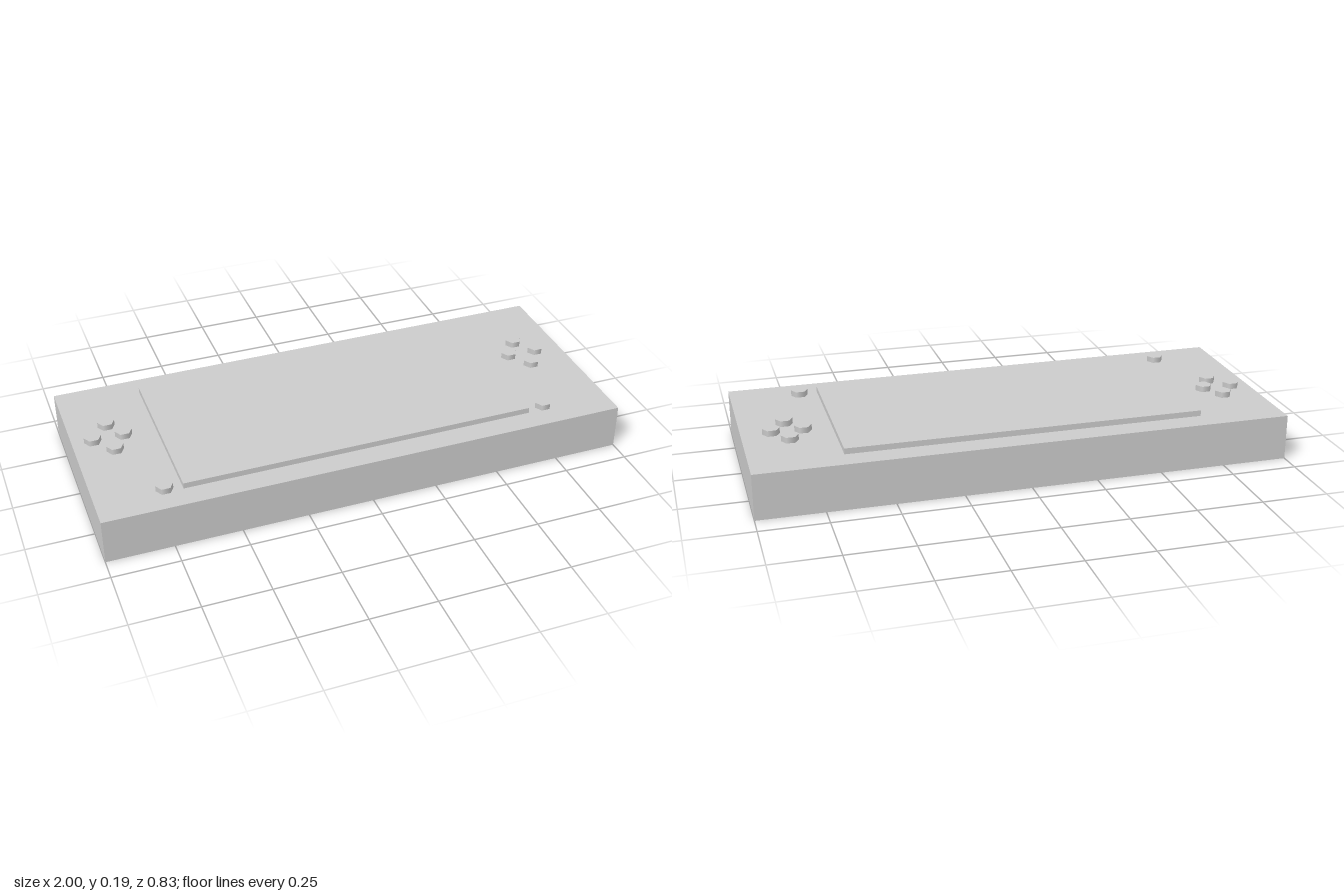
import * as THREE from 'three';

export function createModel() {
  const group = new THREE.Group();
  const casing = new THREE.MeshStandardMaterial({ color: 0xcccccc });
  casing.name = 'plain grey';

  const BODY_TOP = 0.173;
  const TOP = 0.195;

  const add = (name, geometry, x, y, z) => {
    const mesh = new THREE.Mesh(geometry, casing);
    mesh.name = name;
    mesh.position.set(x, y, z);
    group.add(mesh);
  };

  // Slab body and raised screen
  add('body', new THREE.BoxGeometry(2, BODY_TOP, 0.83), 0, BODY_TOP / 2, 0);
  const raise = TOP - BODY_TOP;
  add('screen', new THREE.BoxGeometry(1.35, raise, 0.652), -0.01, BODY_TOP + raise / 2, 0);

  // Six-sided buttons, with corners pointing left and right
  const button = new THREE.CylinderGeometry(0.032, 0.032, raise, 6, 1, false, Math.PI / 2);
  const buttons = {
    directionButton: [[-0.855, -0.146], [-0.923, -0.065], [-0.807, -0.067], [-0.857, 0.015]],
    actionButton: [[0.832, -0.146], [0.773, -0.065], [0.89, -0.065], [0.832, 0.017]],
    menuButton: [[-0.749, 0.307], [0.735, 0.303]],
  };
  for (const [name, spots] of Object.entries(buttons)) {
    spots.forEach(([x, z], i) => add(name + (i + 1), button, x, BODY_TOP + raise / 2, z));
  }
  return group;
}
